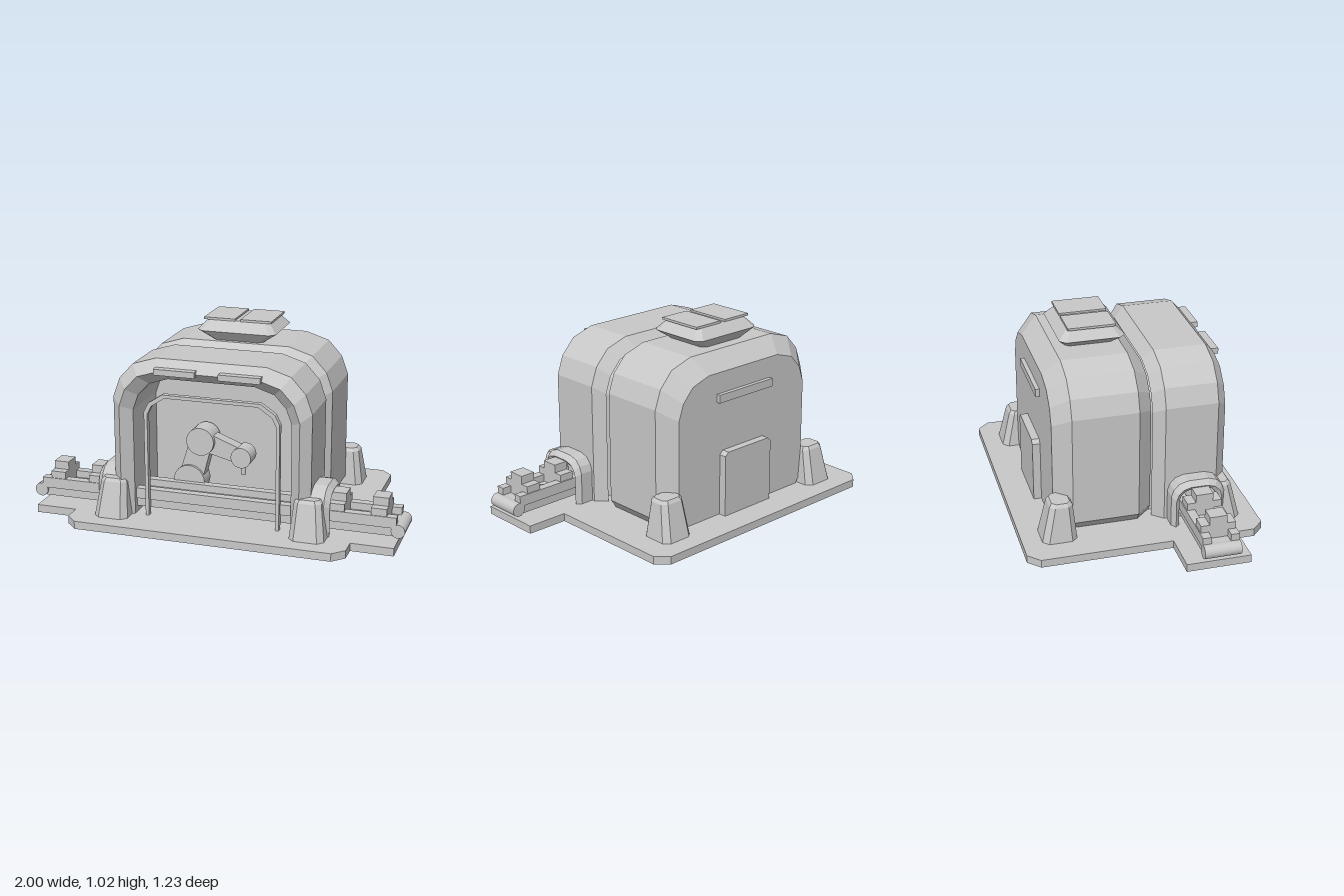
import * as THREE from 'three';

const grey = new THREE.MeshStandardMaterial({ color: 0xc8c8c8, side: THREE.DoubleSide });
grey.name = 'light grey';

function add(parent, name, geo, x = 0, y = 0, z = 0) {
  const m = new THREE.Mesh(geo, grey);
  m.name = name;
  m.position.set(x, y, z);
  parent.add(m);
  return m;
}

// Box given by its minimum and maximum on each axis
function box(parent, name, x0, x1, y0, y1, z0, z1) {
  return add(parent, name, new THREE.BoxGeometry(x1 - x0, y1 - y0, z1 - z0),
    (x0 + x1) / 2, (y0 + y1) / 2, (z0 + z1) / 2);
}

// Faceted skin through a list of cross-sections
function loft(rings, closed) {
  const pos = [];
  const n = rings[0].length;
  for (let i = 0; i < rings.length - 1; i++) {
    for (let j = 0; j < (closed ? n : n - 1); j++) {
      const k = (j + 1) % n;
      const a = rings[i][j], b = rings[i][k], c = rings[i + 1][k], d = rings[i + 1][j];
      pos.push(...a, ...b, ...c, ...a, ...c, ...d);
    }
  }
  const g = new THREE.BufferGeometry();
  g.setAttribute('position', new THREE.Float32BufferAttribute(pos, 3));
  g.computeVertexNormals();
  return g;
}

// Collapse a section to its middle, to cap an end
function cap(ring) {
  const c = [0, 1, 2].map(k => ring.reduce((s, p) => s + p[k], 0) / ring.length);
  return ring.map(() => c);
}

// Arched section with faceted shoulders, at depth z
function arch(w, h, z, c = 0.22, bevel = 0) {
  const half = [[w - bevel, 0.05], [w, 0.05 + bevel * 1.4], [w, h - c],
    [w - 0.16 * c, h - 0.55 * c], [w - 0.5 * c, h - 0.18 * c], [w - 1.07 * c, h]];
  return [...half.map(([x, y]) => [x, y, z]),
    ...half.slice().reverse().map(([x, y]) => [-x, y, z])];
}

// Rectangle with cut corners, at height y
function octagon(x0, x1, z0, z1, c, y) {
  return [[x1, z1 - c], [x1, z0 + c], [x1 - c, z0], [x0 + c, z0],
    [x0, z0 + c], [x0, z1 - c], [x0 + c, z1], [x1 - c, z1]].map(([x, z]) => [x, y, z]);
}

function shapeOf(points) {
  return new THREE.Shape(points.map(([x, y]) => new THREE.Vector2(x, y)));
}

// Round joint facing the front
function joint(parent, name, x, y, z, r, depth) {
  const g = new THREE.CylinderGeometry(r, r, depth, 24);
  g.rotateX(Math.PI / 2);
  return add(parent, name, g, x, y, z);
}

// Tapered arm segment between two joints
function link(parent, name, a, b, ra, rb, depth, z) {
  const dx = b[0] - a[0], dy = b[1] - a[1], l = Math.hypot(dx, dy);
  const nx = -dy / l, ny = dx / l;
  const s = shapeOf([[a[0] - nx * ra, a[1] - ny * ra], [b[0] - nx * rb, b[1] - ny * rb],
    [b[0] + nx * rb, b[1] + ny * rb], [a[0] + nx * ra, a[1] + ny * ra]]);
  add(parent, name, new THREE.ExtrudeGeometry(s, { depth, bevelEnabled: false }), 0, 0, z - depth / 2);
}

export function createModel() {
  const model = new THREE.Group();
  model.name = 'factory';

  // Floor slab with a tab on each side
  const right = [[0.68, -0.62], [0.74, -0.56], [0.74, 0.12], [0.96, 0.12],
    [0.96, 0.455], [0.74, 0.455], [0.74, 0.55], [0.68, 0.61]];
  const outline = [...right, ...right.slice().reverse().map(([x, z]) => [-x, z])];
  const slab = new THREE.ExtrudeGeometry(shapeOf(outline.map(([x, z]) => [x, -z])),
    { depth: 0.042, bevelEnabled: false });
  slab.rotateX(-Math.PI / 2);
  add(model, 'floorSlab', slab, 0, 0.01, 0);
  box(model, 'wallFooting', -0.42, 0.42, 0, 0.04, 0.08, 0.1);

  // Rear hall, closed at both ends
  const back = arch(0.45, 0.82, -0.433, 0.19, 0.035);
  const front = arch(0.45, 0.84, 0.08, 0.19, 0.035);
  add(model, 'rearHall', loft([cap(back), back, arch(0.525, 0.905, -0.345, 0.22, 0.035),
    arch(0.525, 0.905, 0, 0.22, 0.035), front, cap(front)], true));

  // Front hall, an open shell with an inner wall
  add(model, 'frontHall', loft([arch(0.475, 0.85, 0.08, 0.2), arch(0.525, 0.905, 0.135),
    arch(0.525, 0.905, 0.41), arch(0.475, 0.85, 0.462, 0.2), arch(0.42, 0.8, 0.41, 0.18),
    arch(0.42, 0.8, 0.08, 0.18)], false));
  for (const s of [-1, 1]) {
    box(model, 'frontLamp', s * 0.17 - 0.108, s * 0.17 + 0.108, 0.837, 0.868, 0.44, 0.485);
  }

  // Thin free-standing door frame
  const gate = (w, h, c) => [[w, 0.05], [w, h - c], [w - c * 0.25, h - c * 0.5],
    [w - c, h], [-w + c, h], [-w + c * 0.25, h - c * 0.5], [-w, h - c], [-w, 0.05]];
  const frame = shapeOf([...gate(0.36, 0.715, 0.1), ...gate(0.342, 0.697, 0.095).reverse()]);
  add(model, 'doorFrame', new THREE.ExtrudeGeometry(frame, { depth: 0.03, bevelEnabled: false }), 0, 0, 0.385);

  // Back door and bar
  const door = shapeOf([[-0.165, 0.05], [0.165, 0.05], [0.165, 0.38], [0.145, 0.4], [-0.145, 0.4], [-0.165, 0.38]]);
  add(model, 'backDoor', new THREE.ExtrudeGeometry(door, { depth: 0.045, bevelEnabled: false }), 0, 0, -0.474);
  box(model, 'backBar', -0.19, 0.19, 0.667, 0.71, -0.455, -0.42);

  // Roof vent with two lids
  const ventBottom = octagon(-0.13, 0.13, -0.28, -0.03, 0.02, 0.9);
  const ventTop = octagon(-0.165, 0.165, -0.275, -0.035, 0.02, 1.012);
  add(model, 'roofVent', loft([ventBottom, octagon(-0.213, 0.213, -0.325, 0.015, 0.03, 0.958),
    ventTop, cap(ventTop)], true));
  for (const s of [-1, 1]) {
    box(model, 'ventLid', s * 0.1 - 0.085, s * 0.1 + 0.085, 1.01, 1.022, -0.28, -0.03);
  }

  // Tapered corner feet
  for (const sx of [-1, 1]) for (const sz of [-1, 1]) {
    const ring = (xa, xb, za, zb, c, y) => octagon(Math.min(sx * xa, sx * xb), Math.max(sx * xa, sx * xb),
      Math.min(sz * za, sz * zb), Math.max(sz * za, sz * zb), c, y);
    const top = ring(0.46, 0.575, 0.37, 0.463, 0.02, 0.255);
    add(model, 'cornerFoot', loft([ring(0.433, 0.615, 0.34, 0.52, 0.03, 0.05),
      ring(0.448, 0.588, 0.357, 0.475, 0.025, 0.238), top, cap(top)], true));
  }

  // Conveyor bed and rails
  const conveyor = new THREE.Group();
  conveyor.name = 'conveyor';
  model.add(conveyor);
  box(conveyor, 'belt', -0.95, 0.95, 0.085, 0.148, 0.21, 0.38);
  for (const z of [0.2, 0.345]) box(conveyor, 'rail', -0.955, 0.955, 0.13, 0.186, z, z + 0.045);

  for (const s of [-1, 1]) {
    // End roller
    const roller = new THREE.CylinderGeometry(0.036, 0.036, 0.19, 16);
    roller.rotateX(Math.PI / 2);
    add(conveyor, 'endRoller', roller, s * 0.964, 0.115, 0.295);

    // Stepped blocks on the belt
    for (const x of [0.65, 0.865]) {
      box(conveyor, 'sideBlocks', s * x - 0.04, s * x + 0.04, 0.14, 0.224, 0.205, 0.385);
      box(conveyor, 'middleBlock', s * x - 0.04, s * x + 0.04, 0.22, 0.267, 0.25, 0.34);
    }

    // Arrow pointing inwards
    for (const t of [-1, 1]) {
      const bar = box(conveyor, 'arrowMark', -0.025, 0.025, 0.147, 0.153, -0.006, 0.006);
      bar.position.x = s * 0.735;
      bar.position.z = 0.295 + t * 0.018;
      bar.rotation.y = -s * t * Math.PI / 4;
    }

    // Tunnel mouth around the belt
    const tunnel = add(model, 'tunnel', loft([arch(0.14, 0.3, 0.48, 0.08), arch(0.14, 0.3, 0.595, 0.08),
      arch(0.12, 0.275, 0.622, 0.07), arch(0.1, 0.255, 0.605, 0.06), arch(0.1, 0.255, 0.48, 0.06)], false), 0, 0, 0.29);
    tunnel.rotation.y = s * Math.PI / 2;
  }

  // Robot arm inside the front hall
  const arm = new THREE.Group();
  arm.name = 'robotArm';
  model.add(arm);
  const z = 0.165;
  const hip = [-0.19, 0.19], elbow = [-0.125, 0.415], wrist = [0.095, 0.345];
  add(arm, 'armBase', new THREE.CylinderGeometry(0.1, 0.1, 0.03, 24), -0.18, 0.06, z);
  box(arm, 'armPedestal', -0.265, -0.115, 0.06, 0.19, z - 0.05, z + 0.04);
  joint(arm, 'hipJoint', ...hip, z, 0.085, 0.1);
  link(arm, 'upperArm', hip, elbow, 0.065, 0.06, 0.07, z);
  joint(arm, 'elbowJoint', ...elbow, z, 0.075, 0.12);
  link(arm, 'forearm', elbow, wrist, 0.055, 0.04, 0.07, z);
  joint(arm, 'wristJoint', ...wrist, z, 0.055, 0.1);
  add(arm, 'toolTip', new THREE.CylinderGeometry(0.014, 0.014, 0.06, 12), 0.095, 0.272, z);

  return model;
}
